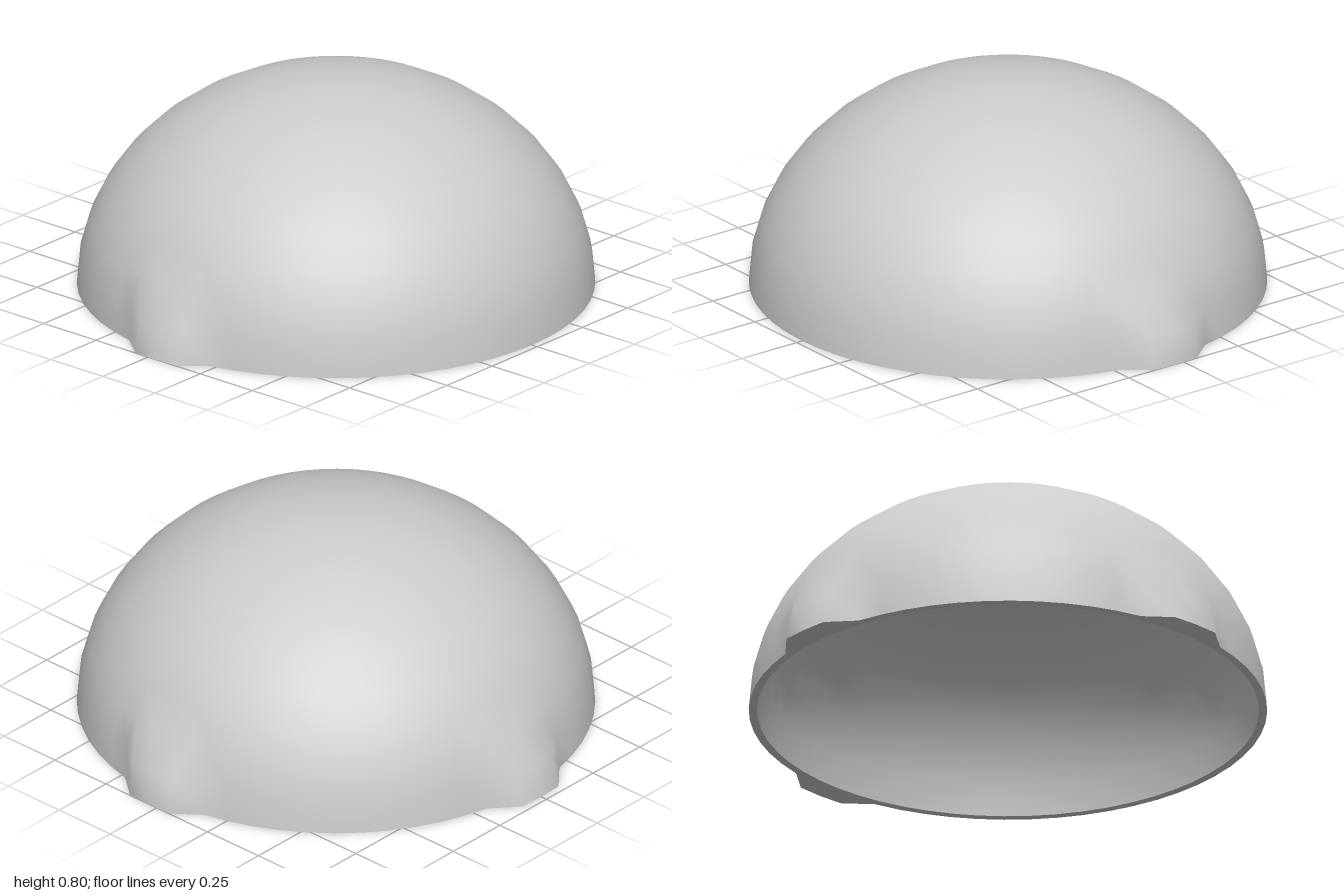
import * as THREE from 'three';
import { mergeVertices } from 'three/addons/utils/BufferGeometryUtils.js';

const SEGMENTS = 60, ROWS = 10;
const RADIUS = 0.94, HEIGHT = 0.8, WALL = 0.03;

// Outward push of each lug at the two lowest rows of the dome
const LUGS = [
  { dir: [0, 1], push: [0.063, 0.045] },   // front
  { dir: [0, -1], push: [0.063, 0.06] },   // back
  { dir: [-1, 0], push: [0.07, 0.052] },   // right
];

// Quarter-ellipse profile from the rim up to the crown
function domeProfile(radius, height) {
  const points = [];
  for (let i = 0; i <= ROWS; i++) {
    const t = (i / ROWS) * Math.PI / 2;
    points.push(new THREE.Vector2(i === ROWS ? 0 : radius * Math.cos(t), height * Math.sin(t)));
  }
  return points;
}

// Pull the three middle columns of each lug outwards
function addLugs(geometry) {
  const p = geometry.attributes.position;
  const rowHeight = HEIGHT * Math.sin(Math.PI / 2 / ROWS);
  for (let i = 0; i < p.count; i++) {
    const x = p.getX(i), y = p.getY(i), z = p.getZ(i);
    const row = Math.round(y / rowHeight);
    const r = Math.hypot(x, z);
    if (row > 1 || r < RADIUS - WALL / 2) continue;
    for (const { dir, push } of LUGS) {
      const closeness = (x * dir[0] + z * dir[1]) / r;
      if (closeness < Math.cos(THREE.MathUtils.degToRad(8))) continue;
      p.setX(i, x + dir[0] * push[row]);
      p.setZ(i, z + dir[1] * push[row]);
    }
  }
}

// Revolve a profile and give it seamless smooth normals
function revolve(name, profile, material, withLugs) {
  let geometry = new THREE.LatheGeometry(profile, SEGMENTS, Math.PI / 2);
  if (withLugs) addLugs(geometry);
  geometry.deleteAttribute('uv');
  geometry.deleteAttribute('normal');
  geometry = mergeVertices(geometry, 1e-4);
  geometry.computeVertexNormals();
  const mesh = new THREE.Mesh(geometry, material);
  mesh.name = name;
  return mesh;
}

export function createModel() {
  const group = new THREE.Group();
  group.name = 'domeShell';
  const material = new THREE.MeshStandardMaterial({ color: 0xcccccc });

  const outer = domeProfile(RADIUS, HEIGHT);
  const inner = domeProfile(RADIUS - WALL, HEIGHT - WALL);

  // Outer skin, hollow inside and the flat rim joining them
  group.add(revolve('outerDome', outer, material, true));
  group.add(revolve('innerDome', inner.slice().reverse(), material, false));
  group.add(revolve('rim', [inner[0], outer[0]], material, true));

  // The lug on one side shifts the dome slightly off centre
  group.children.forEach((mesh) => { mesh.position.x = 0.035; });
  return group;
}
